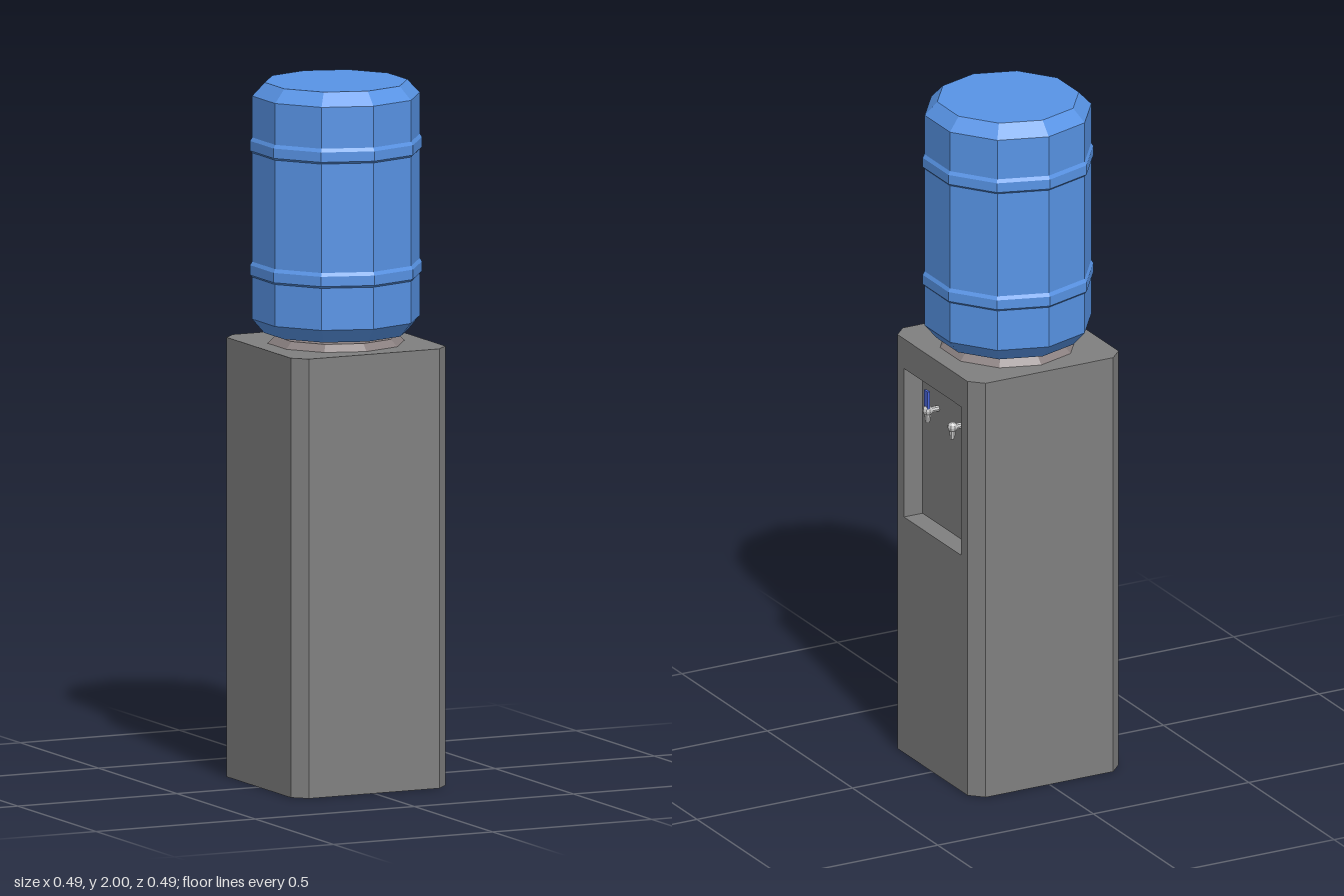
import * as THREE from 'three';

const mat = (color, side = THREE.FrontSide) =>
  new THREE.MeshStandardMaterial({ color, side, flatShading: true });

function add(parent, name, geometry, material, x = 0, y = 0, z = 0) {
  const mesh = new THREE.Mesh(geometry, material);
  mesh.name = name;
  mesh.position.set(x, y, z);
  parent.add(mesh);
  return mesh;
}

const HALF = 0.243, FLAT = 0.205, HEIGHT = 1.255;
const NICHE = { half: 0.167, bottom: 0.715, top: 1.165, depth: 0.06 };

// Cabinet with chamfered corners and a recess in its +x side
function createCabinet(grey) {
  const cabinet = new THREE.Group();
  cabinet.name = 'cabinet';
  const mid = (HALF + FLAT) / 2;
  const nicheHeight = NICHE.top - NICHE.bottom;

  for (let i = 0; i < 8; i++) {
    const angle = (i * Math.PI) / 4;
    const corner = i % 2 === 1;
    const distance = corner ? mid * Math.SQRT2 : HALF;
    const width = corner ? (HALF - FLAT) * Math.SQRT2 : FLAT * 2;
    let panel;
    if (i === 2) {
      // side panel with the opening
      const h = HEIGHT / 2;
      const face = new THREE.Shape([
        new THREE.Vector2(-FLAT, -h), new THREE.Vector2(FLAT, -h),
        new THREE.Vector2(FLAT, h), new THREE.Vector2(-FLAT, h),
      ]);
      const lo = NICHE.bottom - h, hi = NICHE.top - h, n = NICHE.half;
      face.holes.push(new THREE.Path([
        new THREE.Vector2(-n, lo), new THREE.Vector2(-n, hi),
        new THREE.Vector2(n, hi), new THREE.Vector2(n, lo),
      ]));
      panel = new THREE.ShapeGeometry(face);
    } else {
      panel = new THREE.PlaneGeometry(width, HEIGHT);
    }
    panel.translate(0, 0, distance).rotateY(angle);
    add(cabinet, corner ? 'cornerPanel' : 'sidePanel', panel, grey, 0, HEIGHT / 2, 0);
  }

  // top and bottom octagons
  const octagon = new THREE.Shape([
    [FLAT, -HALF], [HALF, -FLAT], [HALF, FLAT], [FLAT, HALF],
    [-FLAT, HALF], [-HALF, FLAT], [-HALF, -FLAT], [-FLAT, -HALF],
  ].map(([x, y]) => new THREE.Vector2(x, y)));
  add(cabinet, 'cabinetTop', new THREE.ShapeGeometry(octagon).rotateX(-Math.PI / 2), grey, 0, HEIGHT, 0);
  add(cabinet, 'cabinetBase', new THREE.ShapeGeometry(octagon).rotateX(Math.PI / 2), grey);

  // recess: a box seen from inside, with its +x face left out
  const box = new THREE.BoxGeometry(NICHE.depth, nicheHeight, NICHE.half * 2);
  box.setIndex(Array.from(box.index.array).slice(6));
  add(cabinet, 'recess', box, mat(grey.color, THREE.BackSide),
    HALF - NICHE.depth / 2, NICHE.bottom + nicheHeight / 2, 0);
  return cabinet;
}

// Tap: horizontal pipe, rounded end and tapered spout
function createTap(metal) {
  const tap = new THREE.Group();
  tap.name = 'tap';
  const pipe = new THREE.CylinderGeometry(0.009, 0.009, 0.035, 8).rotateZ(Math.PI / 2);
  add(tap, 'tapPipe', pipe, metal, 0.0175, 0, 0);
  add(tap, 'tapHead', new THREE.SphereGeometry(0.015, 8, 6), metal, 0.034, 0, 0);
  add(tap, 'tapSpout', new THREE.CylinderGeometry(0.011, 0.007, 0.035, 8), metal, 0.034, -0.018, 0);
  return tap;
}

export function createModel() {
  const model = new THREE.Group();
  model.name = 'waterDispenser';
  const grey = mat(0x808080);
  const metal = mat(0xcccccc);
  const blue = mat(0x5894e6);

  model.add(createCabinet(grey));

  // Taps on the back wall of the recess, one with a blue lever
  for (const z of [0.075, -0.07]) {
    const tap = createTap(metal);
    tap.position.set(HALF - NICHE.depth, 1.065, z);
    model.add(tap);
    if (z > 0) {
      add(tap, 'tapLever', new THREE.BoxGeometry(0.008, 0.06, 0.022), mat(0x4a66d8), 0.036, 0.03, 0);
    }
  }

  // Collar that seats the bottle
  add(model, 'collar', new THREE.CylinderGeometry(0.175, 0.195, 0.02, 10), mat(0x8a8080),
    0, HEIGHT + 0.01, 0);

  // Ten-sided bottle with two raised bands and a neck
  const band = (y) => [[0.239, y], [0.245, y + 0.006], [0.245, y + 0.034], [0.239, y + 0.044]];
  const profile = [
    [0, 1.27], [0.061, 1.27], [0.061, 1.285], [0.205, 1.285], [0.239, 1.325],
    ...band(1.445), ...band(1.8),
    [0.239, 1.962], [0.203, 2], [0, 2],
  ].map(([r, y]) => new THREE.Vector2(r, y));
  add(model, 'bottle', new THREE.LatheGeometry(profile, 10), blue);

  return model;
}
